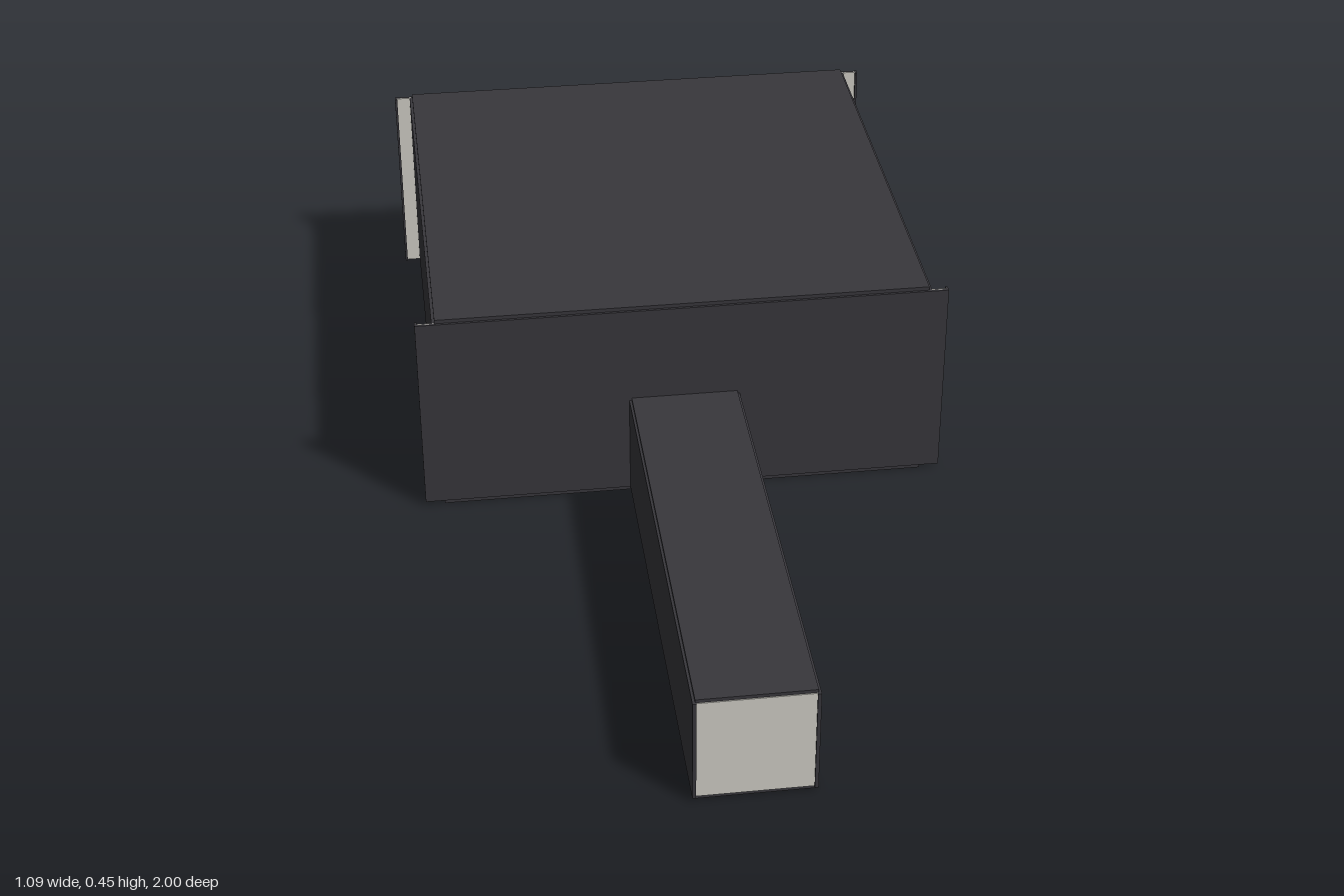
import * as THREE from 'three';

const dark = new THREE.MeshStandardMaterial({ color: 0x38373c });
const light = new THREE.MeshStandardMaterial({ color: 0xd0cec6 });

// Box given by its lower and upper corners
function panel(parent, name, material, [x0, y0, z0], [x1, y1, z1]) {
  const mesh = new THREE.Mesh(new THREE.BoxGeometry(x1 - x0, y1 - y0, z1 - z0), material);
  mesh.position.set((x0 + x1) / 2, (y0 + y1) / 2, (z0 + z1) / 2);
  mesh.name = name;
  parent.add(mesh);
  return mesh;
}

// Upright sheet in the xy plane, with an optional doorway cut up from its foot
function wallSheet(parent, name, material, halfWidth, z, thickness, doorway) {
  const shape = new THREE.Shape();
  shape.moveTo(-halfWidth, 0.01);
  if (doorway) {
    shape.lineTo(-0.108, 0.01);
    shape.lineTo(-0.108, 0.225);
    shape.lineTo(0.108, 0.225);
    shape.lineTo(0.108, 0.01);
  }
  shape.lineTo(halfWidth, 0.01);
  shape.lineTo(halfWidth, 0.44);
  shape.lineTo(-halfWidth, 0.44);
  const geometry = new THREE.ExtrudeGeometry(shape, { depth: thickness, bevelEnabled: false });
  const mesh = new THREE.Mesh(geometry, material);
  mesh.position.z = z;
  mesh.name = name;
  parent.add(mesh);
}

export function createModel() {
  const model = new THREE.Group();
  model.name = 'roomWithCorridor';

  // Main room: floor and roof slabs
  const room = new THREE.Group();
  room.name = 'room';
  model.add(room);
  panel(room, 'roomFloor', dark, [-0.505, 0, -0.995], [0.505, 0.01, 0.018]);
  panel(room, 'roomRoof', dark, [-0.505, 0.439, -0.995], [0.505, 0.448, 0.018]);

  // Front and back walls: dark outer sheet, pale inner sheet
  wallSheet(room, 'backWall', dark, 0.545, -1, 0.005, false);
  wallSheet(room, 'backWallLining', light, 0.54, -0.995, 0.003, false);
  wallSheet(room, 'frontWall', dark, 0.545, 0.018, 0.005, true);
  wallSheet(room, 'frontWallLining', light, 0.54, 0.015, 0.003, true);

  for (const side of [-1, 1]) {
    // Side walls
    const outer = panel(room, 'sideWall', dark, [-0.003, 0.008, -0.995], [0.003, 0.44, 0.018]);
    outer.position.x = side * 0.508;
    const lining = panel(room, 'sideWallLining', light, [-0.0015, 0.01, -0.992], [0.0015, 0.439, 0.015]);
    lining.position.x = side * 0.5035;

    // Folded lips at the ends of the front and back walls
    for (const [z0, z1] of [[-0.998, -0.987], [0.008, 0.021]]) {
      const lip = panel(room, 'wallLip', dark, [-0.0025, 0.01, z0], [0.0025, 0.44, z1]);
      lip.position.x = side * 0.5425;
    }
  }

  // Corridor
  const corridor = new THREE.Group();
  corridor.name = 'corridor';
  model.add(corridor);
  panel(corridor, 'corridorFloor', dark, [-0.11, 0.003, 0.018], [0.11, 0.01, 0.995]);
  panel(corridor, 'corridorRoof', dark, [-0.11, 0.225, 0.018], [0.11, 0.232, 0.995]);
  for (const side of [-1, 1]) {
    const wall = panel(corridor, 'corridorWall', dark, [-0.0035, 0.008, 0.018], [0.0035, 0.226, 1]);
    wall.position.x = side * 0.1115;
  }

  // Pale end closing the corridor, in two boards
  panel(corridor, 'endDoor', light, [-0.108, 0.01, 0.985], [0.108, 0.2, 0.997]);
  panel(corridor, 'endLintel', light, [-0.108, 0.2, 0.985], [0.108, 0.225, 0.997]);

  return model;
}
